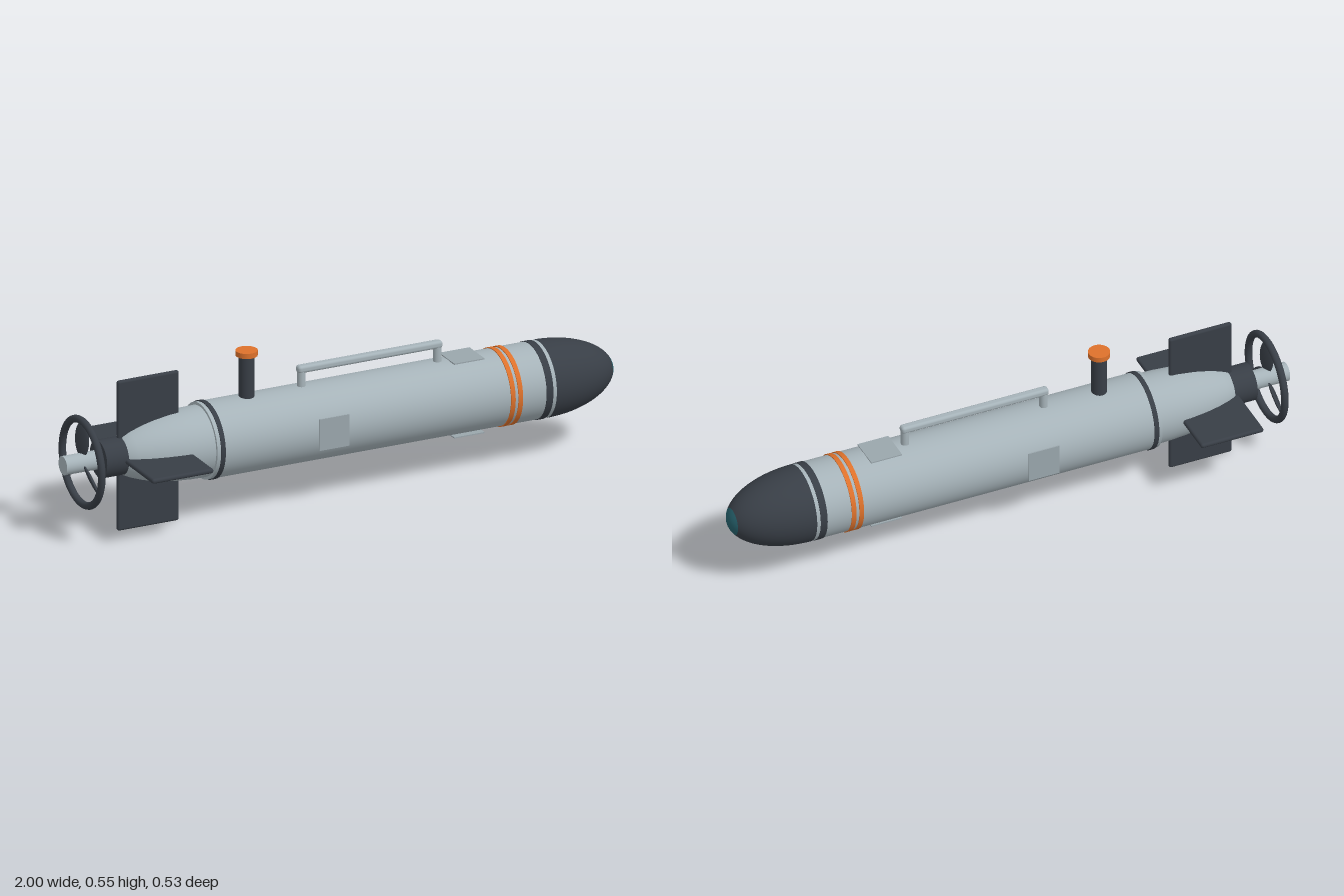
import * as THREE from 'three';
import { RoundedBoxGeometry } from 'three/addons/geometries/RoundedBoxGeometry.js';

const mat = (name, color) => {
  const m = new THREE.MeshStandardMaterial({ color });
  m.name = name;
  return m;
};

export function createModel() {
  const hullGrey = mat('hull grey', 0xa6b3b9);
  const panelGrey = mat('panel grey', 0x9aa6ac);
  const dark = mat('dark slate', 0x383e46);
  const orange = mat('signal orange', 0xdd712b);
  const glass = mat('teal glass', 0x25606b);

  const model = new THREE.Group();
  model.name = 'underwaterVehicle';
  // Everything in body is placed around the hull axis, which runs along x
  const body = new THREE.Group();
  body.name = 'body';
  body.position.y = 0.264;
  model.add(body);

  const add = (name, geo, material, x = 0, y = 0, z = 0, parent = body) => {
    const mesh = new THREE.Mesh(geo, material);
    mesh.name = name;
    mesh.position.set(x, y, z);
    parent.add(mesh);
    return mesh;
  };
  // Cylinder along x between two stations
  const drum = (name, x0, x1, r, material) =>
    add(name, new THREE.CylinderGeometry(r, r, x1 - x0, 64).rotateZ(-Math.PI / 2), material, (x0 + x1) / 2);
  // Surface of revolution along x from [x, radius] pairs, in rising x
  const spun = (name, profile, material) =>
    add(name, new THREE.LatheGeometry(profile.map(([x, r]) => new THREE.Vector2(r, x)), 64).rotateZ(-Math.PI / 2), material);

  // Hull, tail cone and elliptical nose
  drum('hull', -0.5, 0.74, 0.129, hullGrey);
  spun('tail', [[-0.8, 0.055], [-0.785, 0.068], [-0.76, 0.08], [-0.72, 0.094], [-0.67, 0.106],
    [-0.61, 0.115], [-0.55, 0.119], [-0.49, 0.12]], hullGrey);
  const ellipse = (a0, a1, n) => Array.from({ length: n + 1 }, (_, i) => {
    const a = a0 + (a1 - a0) * i / n;
    return [0.737 + 0.263 * Math.sin(a), Math.max(0, 0.13 * Math.cos(a))];
  });
  const lensStart = Math.acos(0.046 / 0.13);
  spun('nose', ellipse(0, lensStart, 20), dark);
  spun('noseLens', ellipse(lensStart, Math.PI / 2, 8), glass);

  // Bands around the hull
  drum('rearBand', -0.487, -0.471, 0.132, dark);
  drum('orangeBandRear', 0.57, 0.586, 0.132, orange);
  drum('orangeBandFront', 0.597, 0.613, 0.132, orange);
  drum('frontBand', 0.7, 0.724, 0.131, dark);

  // Four tail fins from two crossed plates
  for (let i = 0; i < 4; i++) {
    const pivot = new THREE.Group();
    pivot.name = 'fin' + (i + 1);
    pivot.rotation.x = i * Math.PI / 2;
    body.add(pivot);
    add('finPlate', new RoundedBoxGeometry(0.224, 0.222, 0.017, 3, 0.008), dark, -0.691, 0.152, 0, pivot);
  }

  // Propeller with guard ring
  drum('motorHub', -0.87, -0.79, 0.064, dark);
  drum('propellerShaft', -1, -0.86, 0.032, hullGrey);
  add('guardRing', new THREE.TorusGeometry(0.145, 0.0125, 16, 64).rotateY(Math.PI / 2), dark, -0.93);
  for (let i = 0; i < 3; i++) {
    const pivot = new THREE.Group();
    pivot.name = 'propellerBlade' + (i + 1);
    pivot.position.x = -0.93;
    pivot.rotation.x = i * Math.PI * 2 / 3;
    body.add(pivot);
    const blade = new THREE.SphereGeometry(1, 24, 16).scale(0.007, 0.062, 0.028);
    add('blade', blade, dark, 0, 0.08, 0, pivot).rotation.y = 0.5;
  }

  // Antenna mast with cap
  add('mast', new THREE.CylinderGeometry(0.026, 0.026, 0.16, 32), dark, -0.33, 0.193, 0);
  add('mastCap', new THREE.CylinderGeometry(0.0365, 0.0365, 0.018, 32), orange, -0.33, 0.28, 0);

  // Carrying handle
  add('handleBar', new RoundedBoxGeometry(0.527, 0.026, 0.03, 2, 0.01), hullGrey, 0.117, 0.188, 0);
  for (const x of [-0.131, 0.365]) {
    add('handlePost', new THREE.CylinderGeometry(0.014, 0.014, 0.065, 24), hullGrey, x, 0.153, 0);
  }

  // Flat access panels tangent to the hull: top, front, bottom, back
  for (let i = 0; i < 4; i++) {
    const pivot = new THREE.Group();
    pivot.name = 'accessPanel' + (i + 1);
    pivot.rotation.x = i * Math.PI / 2;
    body.add(pivot);
    add('panel', new THREE.BoxGeometry(0.11, 0.004, 0.11), panelGrey, i % 2 ? -0.075 : 0.455, 0.1295, 0, pivot);
  }

  return model;
}
